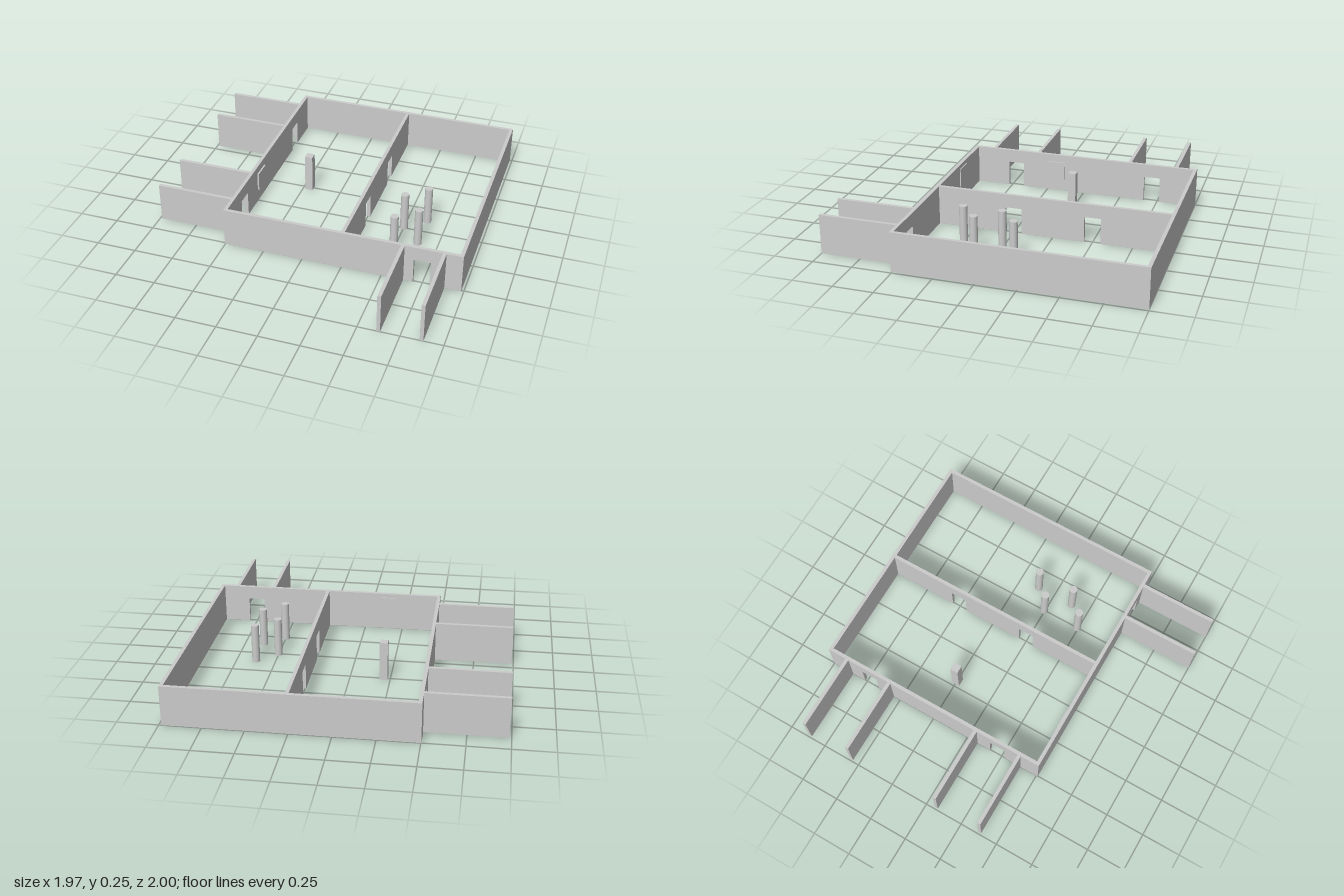
import * as THREE from 'three';

const H = 0.25, T = 0.022;          // wall height and thickness
const DOOR_W = 0.104, DOOR_H = 0.165, DOOR_R = 0.01;

export function createModel() {
  const model = new THREE.Group();
  const material = new THREE.MeshStandardMaterial({ color: 0xcccccc });

  const add = (name, geometry, x = 0, y = 0, z = 0) => {
    const mesh = new THREE.Mesh(geometry, material);
    mesh.name = name;
    mesh.position.set(x, y, z);
    model.add(mesh);
  };

  // Wall running from a to b along one axis, centred at c on the other,
  // with door notches (ascending centres) cut from the bottom edge
  const wall = (name, axis, a, b, c, doors = []) => {
    const s = new THREE.Shape();
    s.moveTo(a, 0);
    for (const d of doors) {
      const l = d - DOOR_W / 2, r = d + DOOR_W / 2;
      s.lineTo(l, 0);
      s.lineTo(l, DOOR_H - DOOR_R);
      s.quadraticCurveTo(l, DOOR_H, l + DOOR_R, DOOR_H);
      s.lineTo(r - DOOR_R, DOOR_H);
      s.quadraticCurveTo(r, DOOR_H, r, DOOR_H - DOOR_R);
      s.lineTo(r, 0);
    }
    s.lineTo(b, 0);
    s.lineTo(b, H);
    s.lineTo(a, H);
    s.closePath();
    const g = new THREE.ExtrudeGeometry(s, { depth: T, bevelEnabled: false, curveSegments: 4 });
    g.translate(0, 0, -T / 2);
    if (axis === 'z') g.rotateY(-Math.PI / 2);
    add(name, g, axis === 'z' ? c : 0, 0, axis === 'x' ? c : 0);
  };

  // Outer walls and divider
  wall('backWall', 'x', -0.503, 0.985, -0.989);
  wall('frontWall', 'x', -0.503, 0.985, 0.499, [0.745]);
  wall('leftWall', 'z', -0.978, 0.488, 0.974);
  wall('rightWall', 'z', -0.978, 0.488, -0.492, [-0.711, 0.22]);
  wall('dividerWall', 'z', -0.978, 0.488, 0.254, [-0.5, 0]);

  // Corridor walls leading away from the doors
  for (const z of [-0.866, -0.557, 0.065, 0.375]) wall('sideCorridorWall', 'x', -0.988, -0.503, z);
  for (const x of [0.624, 0.873]) wall('frontCorridorWall', 'z', 0.51, 1, x);

  // Pillars
  for (const [x, z] of [[0.5, -0.006], [0.5, 0.24], [0.624, -0.116], [0.624, 0.131]])
    add('roundPillar', new THREE.CylinderGeometry(0.025, 0.025, H, 24), x, H / 2, z);
  add('squarePillar', new THREE.BoxGeometry(0.05, H, 0.05), -0.209, H / 2, -0.247);

  // Panels hung on the inner wall faces
  add('sidePanel', new THREE.BoxGeometry(0.012, 0.118, 0.122), -0.477, 0.142, -0.06);
  add('frontPanel', new THREE.BoxGeometry(0.122, 0.118, 0.008), -0.166, 0.164, 0.486);

  return model;
}
